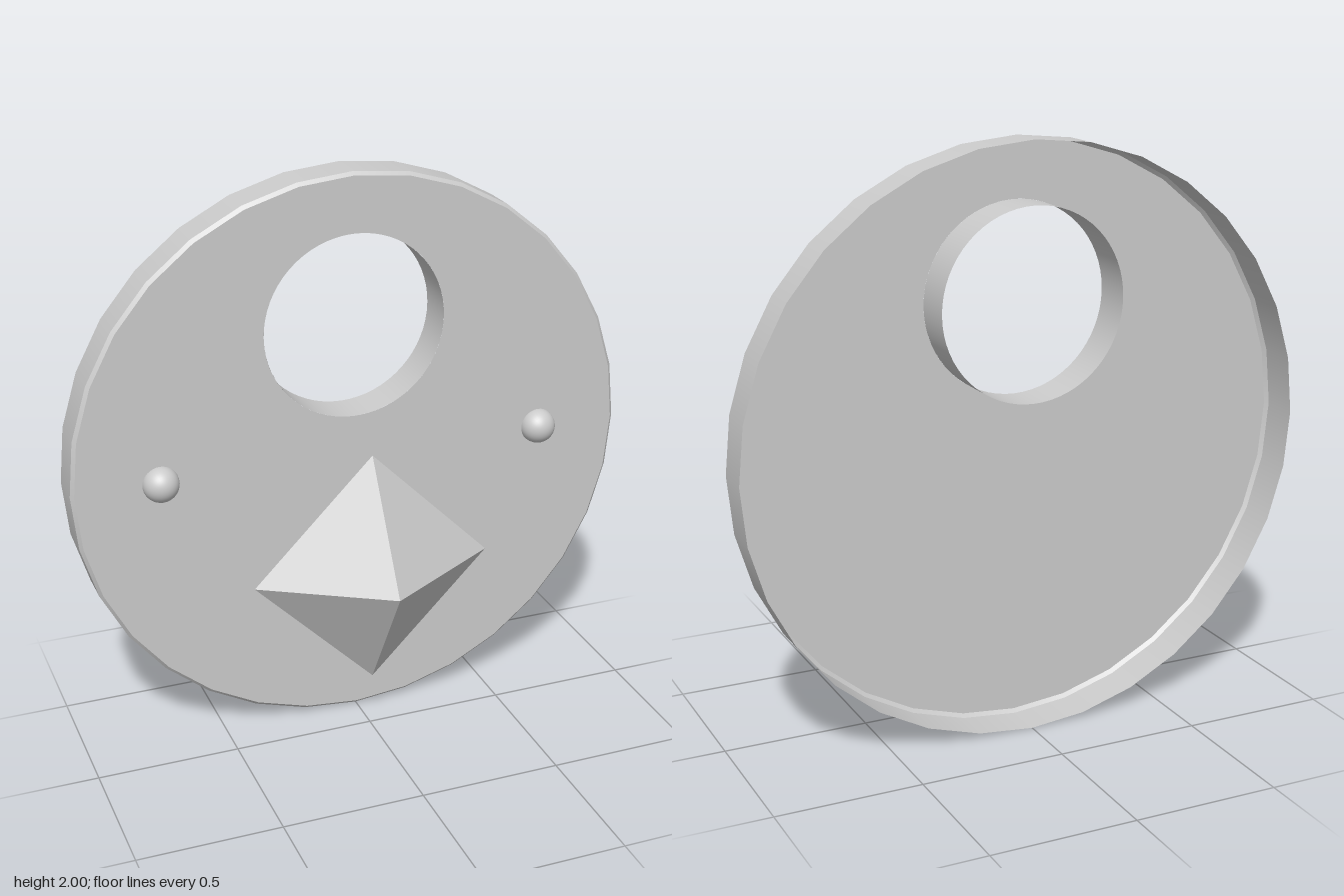
import * as THREE from 'three';

const FRONT = -0.134, BACK = -0.28, BEVEL = 0.012, SIDES = 32;
const HOLE = { y: 1.47, r: 0.323, sides: 64 };

const smooth = new THREE.MeshStandardMaterial({ color: 0xcccccc, side: THREE.DoubleSide });
const faceted = new THREE.MeshStandardMaterial({ color: 0xcccccc, side: THREE.DoubleSide, flatShading: true });

export function createModel() {
  const model = new THREE.Group();

  const add = (name, geometry, material, x = 0, y = 0, z = 0) => {
    const mesh = new THREE.Mesh(geometry, material);
    mesh.name = name;
    mesh.position.set(x, y, z);
    model.add(mesh);
  };

  // Tapered prism lying along z, from zBack to zFront
  const along = (name, rFront, rBack, zBack, zFront, sides, open, material, y) => {
    const geometry = new THREE.CylinderGeometry(rFront, rBack, zFront - zBack, sides, 1, open);
    geometry.rotateX(Math.PI / 2);
    add(name, geometry, material, 0, y, (zFront + zBack) / 2);
  };

  // Front plate with a round hole
  const outline = [];
  for (let i = 0; i < SIDES; i++) {
    const a = (i / SIDES) * Math.PI * 2;
    outline.push(new THREE.Vector2(Math.cos(a), Math.sin(a)).multiplyScalar(1 - BEVEL));
  }
  const plate = new THREE.Shape(outline);
  plate.holes.push(new THREE.Path().absarc(0, HOLE.y - 1, HOLE.r, 0, Math.PI * 2, true));
  add('frontPlate', new THREE.ShapeGeometry(plate, HOLE.sides), smooth, 0, 1, FRONT);

  // Thin shell walls, open at the back
  along('rimBevel', 1 - BEVEL, 1, FRONT - BEVEL, FRONT, SIDES, true, smooth, 1);
  along('rimWall', 1, 1, BACK, FRONT - BEVEL, SIDES, true, smooth, 1);
  along('holeWall', HOLE.r, HOLE.r, BACK, FRONT, HOLE.sides, true, smooth, HOLE.y);

  // Knob: diamond stem carrying a four-sided pyramid
  along('knobStem', 0.095, 0.095, FRONT, 0.025, 4, true, faceted, 0.635);
  along('knobPyramid', 0, 0.428, 0.025, 0.28, 4, false, faceted, 0.635);

  // Half-round studs on either side
  for (const side of [-1, 1]) {
    const dome = new THREE.SphereGeometry(0.063, 32, 12, 0, Math.PI * 2, 0, Math.PI / 2);
    dome.rotateX(Math.PI / 2);
    add(side > 0 ? 'leftStud' : 'rightStud', dome, smooth, side * 0.695, 1.005, FRONT);
  }

  return model;
}
